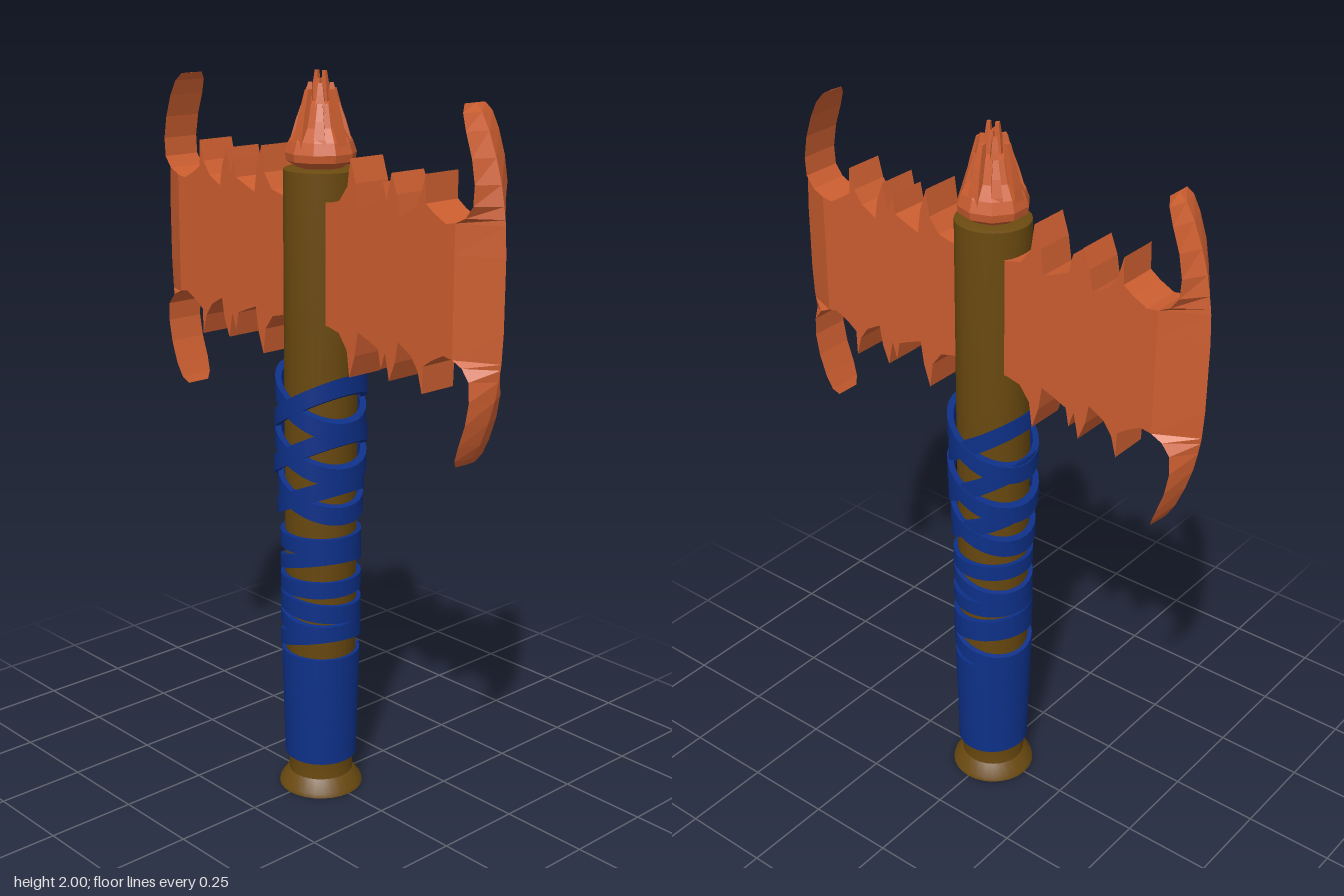
import * as THREE from 'three';
import { toCreasedNormals } from 'three/addons/utils/BufferGeometryUtils.js';

const wood = new THREE.MeshStandardMaterial({ color: 0x6b4a10 });
const cloth = new THREE.MeshStandardMaterial({ color: 0x0d3088 });
const metal = new THREE.MeshStandardMaterial({ color: 0xcc5e30, flatShading: true });

const MID = 1.52; // height of the blade's centre line
const HALF = 0.056; // half thickness of the blade

function part(name, geometry, material) {
  const mesh = new THREE.Mesh(geometry, material);
  mesh.name = name;
  return mesh;
}

function turned(points, sides) {
  return new THREE.LatheGeometry(points.map(([r, y]) => new THREE.Vector2(r, y)), sides);
}

// Cloth strip round the handle; its plane rises by `rise` towards +x, `lean` towards +z
function band(y, rise, height, rx, rz, lean = 0) {
  const h = height / 2, inner = 0.86;
  const g = turned([[inner, -h], [1, -h], [1, h], [inner, h], [inner, -h]], 28);
  const p = g.attributes.position;
  for (let i = 0; i < p.count; i++) {
    const x = p.getX(i), z = p.getZ(i);
    p.setXYZ(i, x * rx, y + p.getY(i) + rise * x + lean * z, z * rz);
  }
  return part('wrapBand', toCreasedNormals(g, 0.7), cloth);
}

// Jagged plate between handle and cutting edge, symmetric above and below MID
function bladePlate() {
  const top = [
    [0.02, 0.16], [0.09, 0.16], [0.13, 0.17], [0.16, 0.21], [0.17, 0.28], [0.19, 0.22],
    [0.2, 0.155], [0.24, 0.17], [0.275, 0.185], [0.285, 0.235], [0.3, 0.19], [0.315, 0.26],
    [0.335, 0.21], [0.345, 0.155], [0.39, 0.18], [0.415, 0.215], [0.43, 0.27],
    [0.432, 0.2], [0.46, 0.18], [0.5, 0.16], [0.53, 0.165],
  ];
  const bottom = top.map(([x, d]) => [x, -d]).reverse();
  const shape = new THREE.Shape([...top, ...bottom].map(([x, d]) => new THREE.Vector2(x, MID + d)));
  const g = new THREE.ExtrudeGeometry(shape, { depth: 2 * HALF, bevelEnabled: false });
  return part('bladePlate', g.translate(0, 0, -HALF), metal);
}

// Crescent edge: wedge cross-sections, thick inside and sharp outside
function cuttingEdge() {
  const half = [ // distance from MID, outer x, inner x, half thickness
    [0.09, 0.642, 0.53, HALF], [0.165, 0.638, 0.53, HALF], [0.18, 0.636, 0.562, HALF],
    [0.21, 0.631, 0.585, HALF], [0.26, 0.621, 0.588, HALF], [0.32, 0.602, 0.577, HALF],
    [0.38, 0.577, 0.556, HALF], [0.42, 0.553, 0.54, 0.05], [0.44, 0.533, 0.53, 0.035],
  ];
  const rows = [...half.map(([d, ...r]) => [-d, ...r]).reverse(), ...half];
  const pos = [], index = [];
  rows.forEach(([d, outer, inner, t], i) => {
    pos.push(inner, MID + d, t, outer, MID + d, 0, inner, MID + d, -t);
    if (i === rows.length - 1) return;
    for (let j = 0; j < 3; j++) {
      const a = i * 3 + j, b = i * 3 + (j + 1) % 3;
      index.push(a, b, b + 3, a, b + 3, a + 3);
    }
  });
  const last = (rows.length - 1) * 3;
  index.push(0, 2, 1, last, last + 1, last + 2);
  const g = new THREE.BufferGeometry();
  g.setAttribute('position', new THREE.Float32BufferAttribute(pos, 3));
  g.setIndex(index);
  g.computeVertexNormals();
  return part('cuttingEdge', g, metal);
}

// Four-sided claw that leans inwards as it rises
function claw(angle, radius, base, height, width, lean) {
  const g = new THREE.CylinderGeometry(width * 0.35, width, height, 4, 3);
  g.rotateY(Math.PI / 4).translate(0, height / 2, 0);
  const p = g.attributes.position;
  for (let i = 0; i < p.count; i++) {
    const t = p.getY(i) / height;
    p.setX(i, p.getX(i) + radius - lean * (t + t * t) / 2);
  }
  const mesh = part('claw', g, metal);
  mesh.position.y = base;
  mesh.rotation.y = angle;
  return mesh;
}

export function createModel() {
  const model = new THREE.Group();
  model.name = 'doubleAxe';

  // Handle with flared foot
  const handle = turned([
    [0, 0], [0.118, 0], [0.115, 0.012], [0.09, 0.045], [0.09, 0.1], [0.098, 0.13],
    [0.098, 1.752], [0.085, 1.757], [0, 1.757],
  ], 28);
  model.add(part('handle', toCreasedNormals(handle, 0.6), wood));

  // Two mirrored blades
  for (const side of [0, Math.PI]) {
    const blade = new THREE.Group();
    blade.name = side ? 'rightBlade' : 'leftBlade';
    blade.add(bladePlate(), cuttingEdge());
    blade.rotation.y = side;
    model.add(blade);
  }

  // Crown of claws on top
  const crown = new THREE.Group();
  crown.name = 'crown';
  crown.add(part('crownBase', turned([
    [0, 1.755], [0.06, 1.757], [0.09, 1.775], [0.093, 1.795], [0.083, 1.825], [0.062, 1.86],
    [0.045, 1.92], [0, 1.93],
  ], 10), metal));
  for (let i = 0; i < 8; i++) {
    const a = (i * Math.PI) / 4;
    crown.add(claw(a, 0.068, 1.79, i % 2 ? 0.13 : 0.165, 0.026, 0.026));
    if (i % 2) crown.add(claw(a, 0.035, 1.88, 0.09, 0.022, 0.008));
  }
  for (let i = 0; i < 4; i++) {
    crown.add(claw((i * Math.PI) / 2 + 0.3, 0.015, 1.9, i % 2 ? 0.08 : 0.1, 0.018, 0.004));
  }
  model.add(crown);

  // Cloth wraps: crossed strips above, single turns below, closed grip at the bottom
  const wraps = new THREE.Group();
  wraps.name = 'wraps';
  const crossed = [ // y, rise, x radius, z radius
    [1.13, 0.07, 0.118, 0.13], [1.0, 0.065, 0.118, 0.133], [0.875, 0.05, 0.113, 0.122],
  ];
  for (const [y, rise, rx, rz] of crossed) {
    wraps.add(band(y, rise, 0.05, rx, rz), band(y + 0.01, -rise, 0.05, rx * 0.98, rz * 0.98));
  }
  const turns = [ // y, rise, height, lean
    [0.75, 0, 0.045, 0], [0.69, 0.03, 0.04, 0.01], [0.625, 0, 0.045, 0],
    [0.56, -0.012, 0.05, 0.008], [0.52, -0.02, 0.04, -0.01], [0.465, 0.03, 0.045, 0.01],
  ];
  turns.forEach(([y, rise, h, lean]) => wraps.add(band(y, rise, h, 0.11, 0.112, lean)));
  for (let i = 0; i < 7; i++) {
    const r = 0.1 + i * 0.0012;
    wraps.add(band(0.125 + i * 0.045, i % 2 ? 0.003 : -0.003, 0.052, r, r + 0.002));
  }
  model.add(wraps);
  return model;
}
